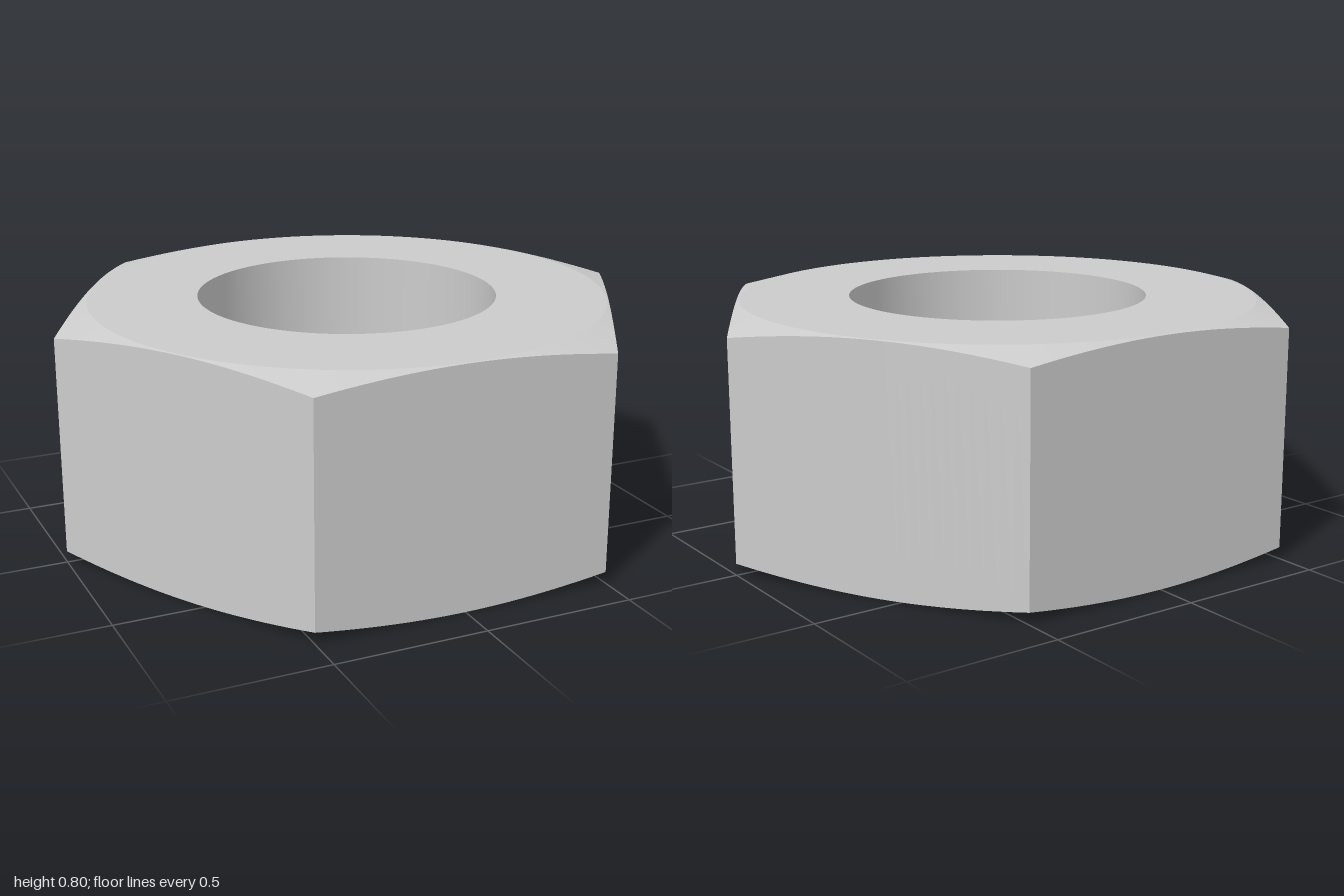
import * as THREE from 'three';
import { toCreasedNormals } from 'three/addons/utils/BufferGeometryUtils.js';

const HEIGHT = 0.795;
const BORE = 0.497;
const APOTHEM = Math.sqrt(3) / 2;
const FACE_RADIUS = 0.86; // flat round bearing face
const CHAMFER_SLOPE = 0.038 / (1 - FACE_RADIUS);
const SEGMENTS = 144; // 24 per side, so the corners fall on a segment

// Distance from the axis to the hexagon side, with corners on the x axis
function hexRadius(phi) {
  const side = Math.PI / 3;
  return APOTHEM / Math.cos(phi - Math.round(phi / side) * side);
}

export function createModel() {
  // Closed section: bore, bottom face, chamfer, side, chamfer, top face
  const section = [
    [BORE, HEIGHT], [BORE, 0], [FACE_RADIUS, 0],
    [1, 0], [1, HEIGHT], [FACE_RADIUS, HEIGHT], [BORE, HEIGHT],
  ].map(([r, y]) => new THREE.Vector2(r, y));
  const lathe = new THREE.LatheGeometry(section, SEGMENTS);

  // Move the outer rings onto the hexagon and down the conical chamfers
  const pos = lathe.attributes.position;
  for (let i = 0; i <= SEGMENTS; i++) {
    const phi = (i / SEGMENTS) * Math.PI * 2;
    const r = hexRadius(phi);
    const drop = (r - FACE_RADIUS) * CHAMFER_SLOPE;
    const x = r * Math.sin(phi), z = r * Math.cos(phi);
    pos.setXYZ(i * section.length + 3, x, drop, z);
    pos.setXYZ(i * section.length + 4, x, HEIGHT - drop, z);
  }

  // Smooth bore and chamfers, sharp edges elsewhere
  const geometry = toCreasedNormals(lathe, 0.1);
  const nut = new THREE.Mesh(geometry, new THREE.MeshStandardMaterial({ color: 0xcccccc }));
  nut.name = 'hexNut';

  const group = new THREE.Group();
  group.name = 'nut';
  group.add(nut);
  return group;
}
